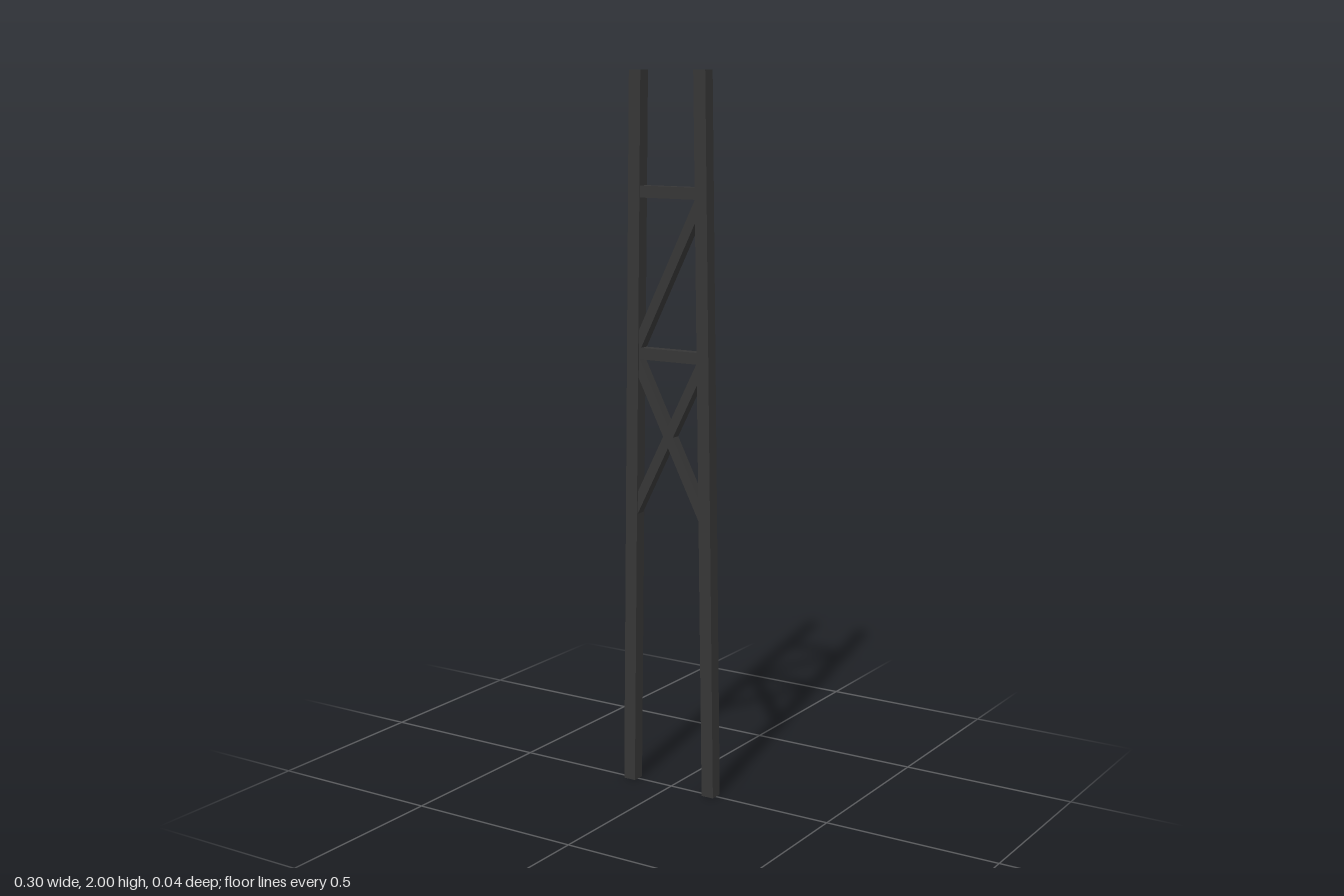
import * as THREE from 'three';

export function createModel() {
  const group = new THREE.Group();
  const steel = new THREE.MeshStandardMaterial({ color: 0x363636 });
  steel.name = 'darkSteel';
  const cut = new THREE.MeshStandardMaterial({ color: 0x5a5a5a });
  cut.name = 'greyCutEnd';

  // Legs: boxes sheared inward towards the top, with level ends
  function leg(name, bottomX, topX, capMaterial) {
    const geo = new THREE.BoxGeometry(0.037, 2, 0.037);
    const pos = geo.attributes.position;
    for (let i = 0; i < pos.count; i++) {
      const t = (pos.getY(i) + 1) / 2;
      pos.setX(i, pos.getX(i) + bottomX + (topX - bottomX) * t);
    }
    geo.computeVertexNormals();
    const mesh = new THREE.Mesh(geo, [steel, steel, capMaterial, steel, steel, steel]);
    mesh.name = name;
    mesh.position.set(0, 1, -0.001);
    group.add(mesh);
  }
  leg('rightLeg', -0.131, -0.105, steel);
  leg('leftLeg', 0.131, 0.098, cut);

  // Bars between two points in the plane of the legs
  function bar(name, x1, y1, x2, y2, height, depth) {
    const length = Math.hypot(x2 - x1, y2 - y1);
    const mesh = new THREE.Mesh(new THREE.BoxGeometry(length, height, depth), steel);
    mesh.name = name;
    mesh.position.set((x1 + x2) / 2, (y1 + y2) / 2, 0);
    mesh.rotation.z = Math.atan2(y2 - y1, x2 - x1);
    group.add(mesh);
  }
  bar('upperRung', -0.108, 1.677, 0.102, 1.677, 0.032, 0.028);
  bar('lowerRung', -0.114, 1.236, 0.108, 1.236, 0.032, 0.028);
  bar('upperDiagonal', -0.108, 1.245, 0.102, 1.667, 0.028, 0.028);
  bar('crossBraceRising', -0.115, 0.79, 0.108, 1.227, 0.028, 0.028);
  bar('crossBraceFalling', -0.112, 1.227, 0.112, 0.79, 0.028, 0.028);

  return group;
}
